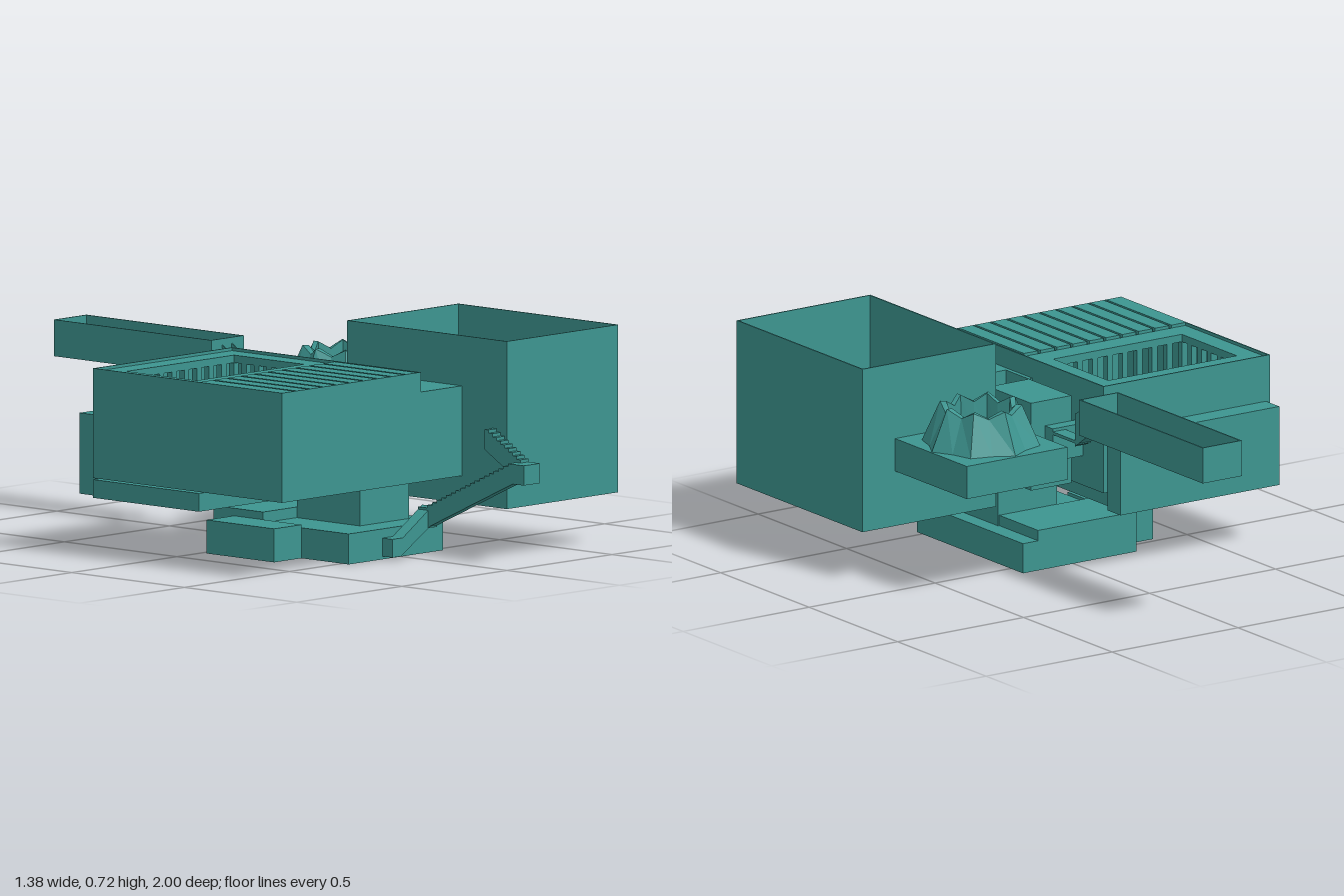
import * as THREE from 'three';

const material = new THREE.MeshStandardMaterial({ color: 0x3d9590, flatShading: true, side: THREE.DoubleSide });

export function createModel() {
  const model = new THREE.Group();

  const section = (name) => {
    const g = new THREE.Group();
    g.name = name;
    model.add(g);
    return g;
  };
  const add = (parent, name, geometry) => {
    const m = new THREE.Mesh(geometry, material);
    m.name = name;
    parent.add(m);
    return m;
  };
  // Box given by its limits on each axis
  const block = (parent, name, x0, x1, y0, y1, z0, z1) => {
    const m = add(parent, name, new THREE.BoxGeometry(x1 - x0, y1 - y0, z1 - z0));
    m.position.set((x0 + x1) / 2, (y0 + y1) / 2, (z0 + z1) / 2);
    return m;
  };
  const rect = (x0, x1, z0, z1) => [[x0, z0], [x1, z0], [x1, z1], [x0, z1]].map((p) => new THREE.Vector2(...p));
  // Horizontal slab with a rectangular opening
  const frame = (parent, name, outer, inner, top, depth) => {
    const shape = new THREE.Shape(rect(...outer));
    shape.holes.push(new THREE.Path(rect(...inner)));
    const g = new THREE.ExtrudeGeometry(shape, { depth, bevelEnabled: false });
    g.rotateX(Math.PI / 2).translate(0, top, 0);
    return add(parent, name, g);
  };
  // Thin-walled room without a ceiling
  const openRoom = (parent, x0, x1, y0, y1, z0, z1, t = 0.005) => {
    frame(parent, 'walls', [x0, x1, z0, z1], [x0 + t, x1 - t, z0 + t, z1 - t], y1, y1 - y0);
    block(parent, 'floor', x0 + t, x1 - t, y0, y0 + t, z0 + t, z1 - t);
  };
  // Profile of (z, y) points carried along x
  const prismX = (parent, name, points, x0, x1) => {
    const shape = new THREE.Shape(points.map((p) => new THREE.Vector2(...p)));
    const g = new THREE.ExtrudeGeometry(shape, { depth: x1 - x0, bevelEnabled: false });
    g.rotateY(-Math.PI / 2).translate(x1, 0, 0);
    return add(parent, name, g);
  };
  // Profile of (x, y) points carried along z
  const prismZ = (parent, name, points, z0, z1) => {
    const shape = new THREE.Shape(points.map((p) => new THREE.Vector2(...p)));
    const g = new THREE.ExtrudeGeometry(shape, { depth: z1 - z0, bevelEnabled: false });
    return add(parent, name, g.translate(0, 0, z0));
  };
  // Stepped top with a sloping underside, running down from a to b
  const stairs = (a, b, n, thick) => {
    const pts = [[b[0], b[1] - thick], [a[0], a[1] - thick]];
    for (let i = 0; i < n; i++) {
      const y = a[1] + ((b[1] - a[1]) * i) / n;
      pts.push([a[0] + ((b[0] - a[0]) * i) / n, y], [a[0] + ((b[0] - a[0]) * (i + 1)) / n, y]);
    }
    return pts;
  };

  // Tall hall with a ledge round a sunken floor
  const hall = section('tallHall');
  openRoom(hall, 0.16, 0.69, 0.17, 0.72, 0.14, 0.85);
  frame(hall, 'ledge', [0.165, 0.685, 0.145, 0.845], [0.26, 0.59, 0.24, 0.75], 0.35, 0.17);
  prismX(hall, 'hallStairs', stairs([0.75, 0.35], [0.58, 0.2], 8, 0.02), 0.49, 0.57);

  // Courtyard room with colonnade, sunken floor and slatted roof
  const court = section('courtyardRoom');
  frame(court, 'walls', [-0.695, -0.035, -0.19, 0.65], [-0.69, -0.04, -0.185, 0.645], 0.62, 0.36);
  block(court, 'frontFloor', -0.69, -0.04, 0.26, 0.265, 0.28, 0.645);
  frame(court, 'courtFloor', [-0.69, -0.04, -0.185, 0.28], [-0.62, -0.11, -0.11, 0.2], 0.265, 0.005);
  block(court, 'sunkenBase', -0.695, -0.09, 0.195, 0.255, -0.19, 0.28);
  frame(court, 'colonnadeRoof', [-0.69, -0.04, -0.185, 0.28], [-0.62, -0.11, -0.11, 0.2], 0.61, 0.025);
  const column = (x, z) => block(court, 'column', x - 0.011, x + 0.011, 0.265, 0.585, z - 0.011, z + 0.011);
  for (let i = 0; i <= 9; i++) {
    const x = -0.631 + (0.532 * i) / 9;
    column(x, -0.121);
    column(x, 0.211);
  }
  for (let i = 1; i < 6; i++) {
    const z = -0.121 + (0.332 * i) / 6;
    column(-0.631, z);
    column(-0.099, z);
  }
  block(court, 'roofDeck', -0.69, -0.04, 0.59, 0.605, 0.28, 0.645);
  for (let i = 0; i < 10; i++) {
    const x = -0.69 + i * 0.065;
    block(court, 'roofSlat', x, x + 0.055, 0.605, 0.62, 0.28, 0.645);
  }
  block(court, 'rearAnnex', -0.68, -0.05, 0.2, 0.465, -0.265, -0.19);

  // Central passage with a sloping sunken stretch
  const passage = section('centralPassage');
  prismX(passage, 'passageBody', [[-0.03, 0.26], [0.65, 0.26], [0.65, 0.555], [0.34, 0.555], [0.34, 0.42],
    [0.21, 0.5], [0.21, 0.555], [-0.03, 0.555]], -0.02, 0.14);
  block(passage, 'frontSide', 0.14, 0.16, 0.26, 0.555, 0.38, 0.65);
  block(passage, 'innerSide', -0.035, -0.02, 0.26, 0.555, 0.21, 0.65);
  block(passage, 'rearLink', -0.035, 0.085, 0.36, 0.47, -0.075, -0.03);
  block(passage, 'craterLink', 0.14, 0.18, 0.36, 0.45, 0.01, 0.07);
  block(passage, 'hallLink', 0.14, 0.165, 0.27, 0.36, 0.15, 0.21);

  // Rear trough reached by a narrow sloping stair
  const rear = section('rearTrough');
  openRoom(rear, -0.015, 0.14, 0.51, 0.63, -1, -0.3);
  block(rear, 'stairFoot', 0.035, 0.085, 0.45, 0.46, -0.22, -0.06);
  prismX(rear, 'stairFlight', stairs([-0.3, 0.54], [-0.2, 0.47], 8, 0.03), 0.035, 0.085);
  [0.035, 0.082].forEach((x) => prismX(rear, 'stairWall',
    [[-0.3, 0.51], [-0.2, 0.445], [-0.2, 0.55], [-0.3, 0.61]], x, x + 0.003));

  // Faceted crater on a square base
  const crater = section('crater');
  block(crater, 'squareBase', 0.16, 0.56, 0.355, 0.465, -0.265, 0.14);
  const profile = [[0.195, 0.465], [0.135, 0.6], [0.115, 0.6], [0.11, 0.47], [0, 0.47]];
  const ring = new THREE.LatheGeometry(profile.map((p) => new THREE.Vector2(...p)), 16);
  const pos = ring.attributes.position;
  for (let i = 0; i < pos.count; i++) {
    const rib = Math.floor(i / profile.length) % 2;
    const k = rib ? 0.88 : 1;
    const drop = rib && pos.getY(i) > 0.55 ? 0.025 : 0;
    pos.setXYZ(i, pos.getX(i) * k, pos.getY(i) - drop, pos.getZ(i) * k);
  }
  ring.computeVertexNormals();
  add(crater, 'craterWall', ring).position.set(0.36, 0, -0.06);

  // Basement and the neck that joins it to the passage
  const base = section('basement');
  block(base, 'basementHall', -0.25, 0.2, 0, 0.1, -0.07, 0.53);
  block(base, 'raisedRear', -0.25, 0.14, 0.1, 0.135, -0.07, 0.15);
  block(base, 'sideRoom', -0.38, -0.25, 0, 0.11, 0.02, 0.32);
  block(base, 'neck', -0.09, 0.145, 0.1, 0.26, 0.15, 0.43);

  // Folded stair at the front, from the tall hall down to the basement
  const fold = section('frontStairs');
  prismX(fold, 'upperFlight', stairs([0.79, 0.43], [0.95, 0.335], 9, 0.065), 0.117, 0.157);
  block(fold, 'landing', 0.08, 0.157, 0.27, 0.335, 0.95, 1);
  prismX(fold, 'lowerFlight', stairs([0.95, 0.335], [0.57, 0.155], 18, 0.065), 0.08, 0.117);
  block(fold, 'turn', 0.08, 0.117, 0.09, 0.155, 0.53, 0.58);
  prismZ(fold, 'lastFlight', [[-0.09, 0.01], [-0.05, 0.01], [0.1, 0.1], [0.1, 0.16], [-0.04, 0.07], [-0.09, 0.07]], 0.53, 0.575);

  return model;
}
